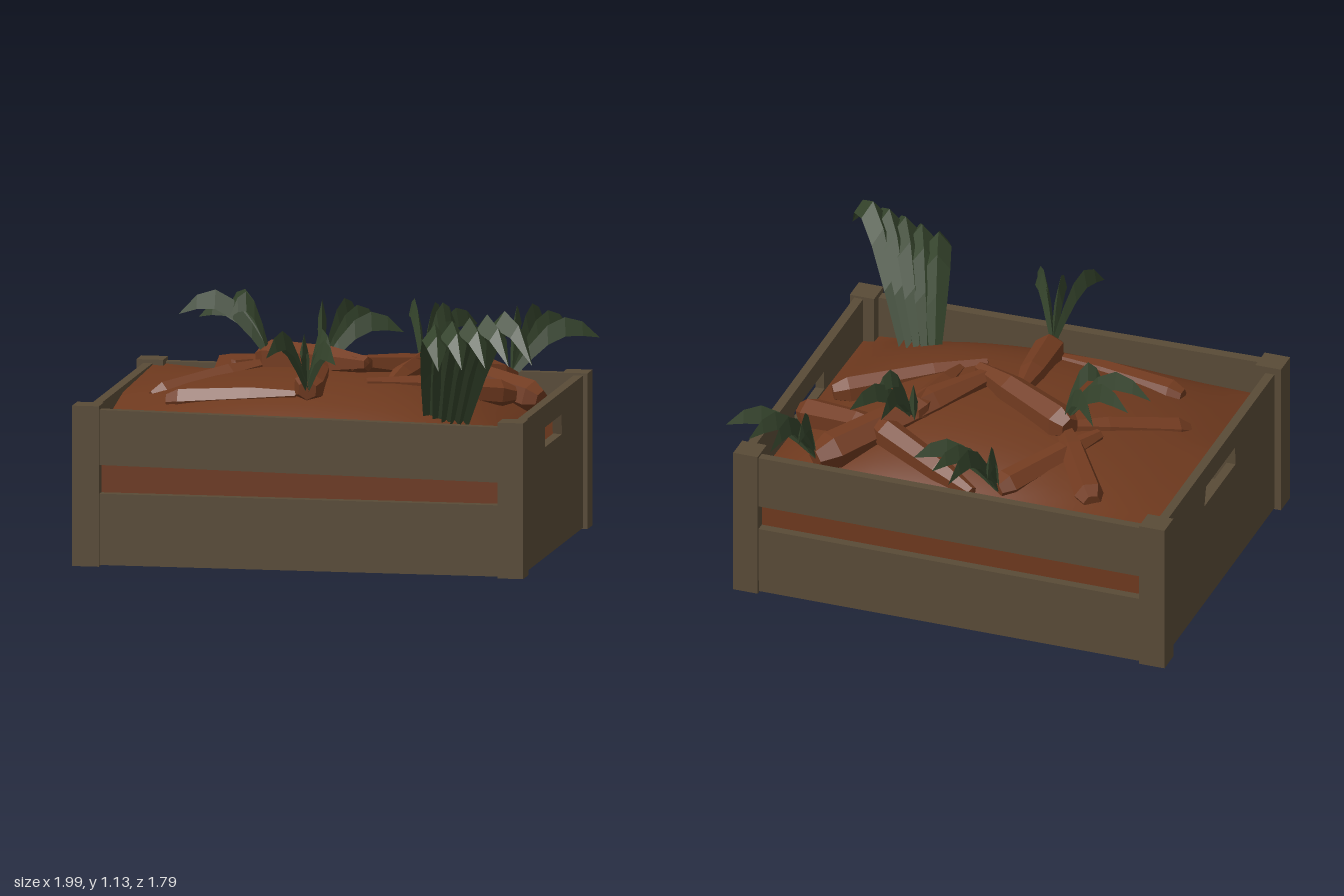
import * as THREE from 'three';

const mat = (name, color, extra = {}) => {
  const m = new THREE.MeshStandardMaterial({ color, ...extra });
  m.name = name;
  return m;
};

export function createModel() {
  const wood = mat('wood', 0x594b37);
  const orange = mat('carrot orange', 0x723b20, { flatShading: true });
  const heap = mat('heap orange', 0x6e391e);
  const green = mat('leaf green', 0x34432b, { flatShading: true, side: THREE.DoubleSide });
  const root = new THREE.Group();
  root.name = 'carrotCrate';

  const add = (name, geo, material, parent = root) => {
    const m = new THREE.Mesh(geo, material);
    m.name = name;
    parent.add(m);
    return m;
  };
  // Box given by its minimum and maximum on each axis
  const box = (name, x0, x1, y0, y1, z0, z1) => {
    const m = add(name, new THREE.BoxGeometry(x1 - x0, y1 - y0, z1 - z0), wood);
    m.position.set((x0 + x1) / 2, (y0 + y1) / 2, (z0 + z1) / 2);
    return m;
  };

  // Corner posts
  box('frontRightPost', -1, -0.885, 0, 0.685, 0.725, 0.838);
  box('frontLeftPost', 0.83, 0.94, 0, 0.665, 0.725, 0.838);
  box('backRightPost', -1, -0.885, 0, 0.67, -0.7, -0.59);
  box('backLeftPost', 0.83, 0.94, 0, 0.665, -0.7, -0.59);

  // Floor, with long planks at front and back; the front upper one sits askew
  box('floor', -0.96, 0.91, 0.005, 0.06, -0.685, 0.82);
  for (const [side, z0, z1, tilt] of [['front', 0.78, 0.825, -0.015], ['back', -0.69, -0.65, 0]]) {
    box(side + 'LowerPlank', -0.96, 0.91, 0.06, 0.31, z0, z1);
    box(side + 'UpperPlank', -0.95, 0.9, 0.42, 0.655, z0, z1).rotation.z = tilt;
  }

  // End panels with a cut-out handle
  const panel = new THREE.Shape();
  panel.moveTo(-0.78, 0.005).lineTo(0.66, 0.005).lineTo(0.66, 0.655).lineTo(-0.78, 0.655).closePath();
  const grip = new THREE.Path();
  grip.moveTo(-0.25, 0.475).lineTo(-0.245, 0.56).lineTo(0.11, 0.56).lineTo(0.13, 0.475).closePath();
  panel.holes.push(grip);
  for (const [name, x] of [['leftPanel', 0.88], ['rightPanel', -0.97]]) {
    const geo = new THREE.ExtrudeGeometry(panel, { depth: 0.04, bevelEnabled: false });
    const m = add(name, geo, wood);
    m.rotation.y = Math.PI / 2;
    m.position.x = x;
  }

  // Heap: a broad dome rising from an uneven edge
  const mound = new THREE.PlaneGeometry(2, 2, 18, 18).rotateX(-Math.PI / 2);
  const p = mound.attributes.position;
  for (let i = 0; i < p.count; i++) {
    const u = p.getX(i), v = p.getZ(i);
    const edge = 0.55 - 0.08 * u - 0.02 * v - 0.1 * Math.max(0, -u) * Math.max(0, v);
    const swell = (1 - Math.abs(u) ** 2.4) * (1 - Math.abs(v) ** 2.6);
    p.setXYZ(i, -0.025 + u * 0.905, edge + (0.75 - edge) * swell, 0.065 + v * 0.715);
  }
  mound.computeVertexNormals();
  add('heapTop', mound, heap);

  // Sides of the heap, seen through the gaps between planks
  for (const [name, z, turn] of [['heapFront', 0.775, 0], ['heapBack', -0.645, Math.PI]]) {
    const m = add(name, new THREE.PlaneGeometry(1.8, 0.28), heap);
    m.position.set(-0.025, 0.34, z);
    m.rotation.y = turn;
  }

  // Carrot: tapered hexagonal root with a pinched crown
  const up = new THREE.Vector3(0, 1, 0);
  const carrot = (head, tip, r = 0.065) => {
    const a = new THREE.Vector3(...head), b = new THREE.Vector3(...tip);
    const len = a.distanceTo(b);
    const profile = [[0, 0], [r * 0.4, 0.005], [r * 0.85, len * 0.35], [r, len * 0.9], [r * 0.6, len], [0, len]];
    const geo = new THREE.LatheGeometry(profile.map(([x, y]) => new THREE.Vector2(x, y)), 6);
    const m = add('carrot', geo, orange);
    m.position.copy(b);
    m.quaternion.setFromUnitVectors(up, a.sub(b).normalize());
  };
  [
    [[-0.2, 0.64, -0.57], [-0.5, 0.73, -0.12]],
    [[-0.78, 0.62, 0.2], [-0.33, 0.74, -0.14]],
    [[-0.62, 0.65, -0.55], [-0.32, 0.74, -0.1]],
    [[-0.38, 0.76, -0.17], [0.14, 0.79, 0.13], 0.078],
    [[0.62, 0.63, -0.57], [0.06, 0.79, 0.12], 0.083],
    [[0.3, 0.74, -0.25], [0.25, 0.72, 0.22], 0.06],
    [[0.42, 0.71, -0.35], [-0.1, 0.62, -0.6], 0.065],
    [[0.82, 0.61, -0.18], [0.35, 0.72, -0.38], 0.07],
    [[0.73, 0.65, -0.05], [0.15, 0.73, 0.28], 0.06],
    [[-0.05, 0.73, 0.52], [-0.08, 0.77, 0.05], 0.07],
    [[-0.67, 0.65, 0.42], [-0.1, 0.7, 0.47], 0.06],
  ].forEach((c) => carrot(...c));

  // Leaf: an arched strip with a ridge and two hanging edges, from base to tip
  const leaf = (parent, base, tip, lift, w, drop) => {
    const dx = tip[0] - base[0], dz = tip[1] - base[2], len = Math.hypot(dx, dz);
    const sx = -dz / len, sz = dx / len;
    const widths = [0.45, 0.8, 1, 1, 0.75, 0];
    const pos = [], idx = [];
    widths.forEach((k, i) => {
      const t = i / 5, arc = lift * Math.sin(Math.PI * 0.8 * t);
      for (const s of [-1, 0, 1]) {
        pos.push(base[0] + dx * t + sx * s * k * w,
          base[1] + arc - Math.abs(s) * k * drop,
          base[2] + dz * t + sz * s * k * w);
      }
      if (i < 5) {
        for (const j of [0, 1]) {
          const q = i * 3 + j;
          idx.push(q, q + 1, q + 3, q + 1, q + 4, q + 3);
        }
      }
    });
    const geo = new THREE.BufferGeometry();
    geo.setAttribute('position', new THREE.Float32BufferAttribute(pos, 3));
    geo.setIndex(idx);
    geo.computeVertexNormals();
    add('leaf', geo, green, parent);
  };

  // Leaf tufts: base, lift, then tips as x, z
  [
    [[-0.33, 0.78, -0.12], 0.27, [[-0.73, -0.13], [-0.57, -0.4], [-0.66, -0.22], [-0.5, -0.07]]],
    [[-0.2, 0.67, -0.57], 0.26, [[-0.1, -0.9], [0.01, -0.8], [0.13, -0.7], [-0.24, -0.8]]],
    [[0.62, 0.67, -0.57], 0.26, [[0.7, -0.9], [0.83, -0.81], [0.97, -0.71], [0.61, -0.8]]],
    [[0.3, 0.75, -0.25], 0.24, [[0.18, -0.55], [0.32, -0.58], [0.48, -0.53], [0.41, -0.4]]],
    [[-0.05, 0.76, 0.52], 0.25, [[-0.17, 0.82], [-0.03, 0.74], [0.13, 0.82], [0.09, 0.68]]],
  ].forEach(([base, lift, tips]) => {
    const tuft = new THREE.Group();
    tuft.name = 'leafTuft';
    root.add(tuft);
    tips.forEach((tip, i) => leaf(tuft, base, tip, lift * (1 - 0.07 * (i % 3)), 0.018, 0.08));
  });

  // Large clump of broad overlapping leaves at the front left corner
  const clump = new THREE.Group();
  clump.name = 'largeLeafClump';
  root.add(clump);
  for (let i = 0; i < 5; i++) {
    const t = i / 4;
    leaf(clump, [0.47 + 0.15 * t, 0.62, 0.49 + 0.03 * t], [0.58 + 0.41 * t, 0.86 + 0.035 * t],
      0.44 + 0.07 * t, 0.055, 0.07);
  }
  return root;
}
